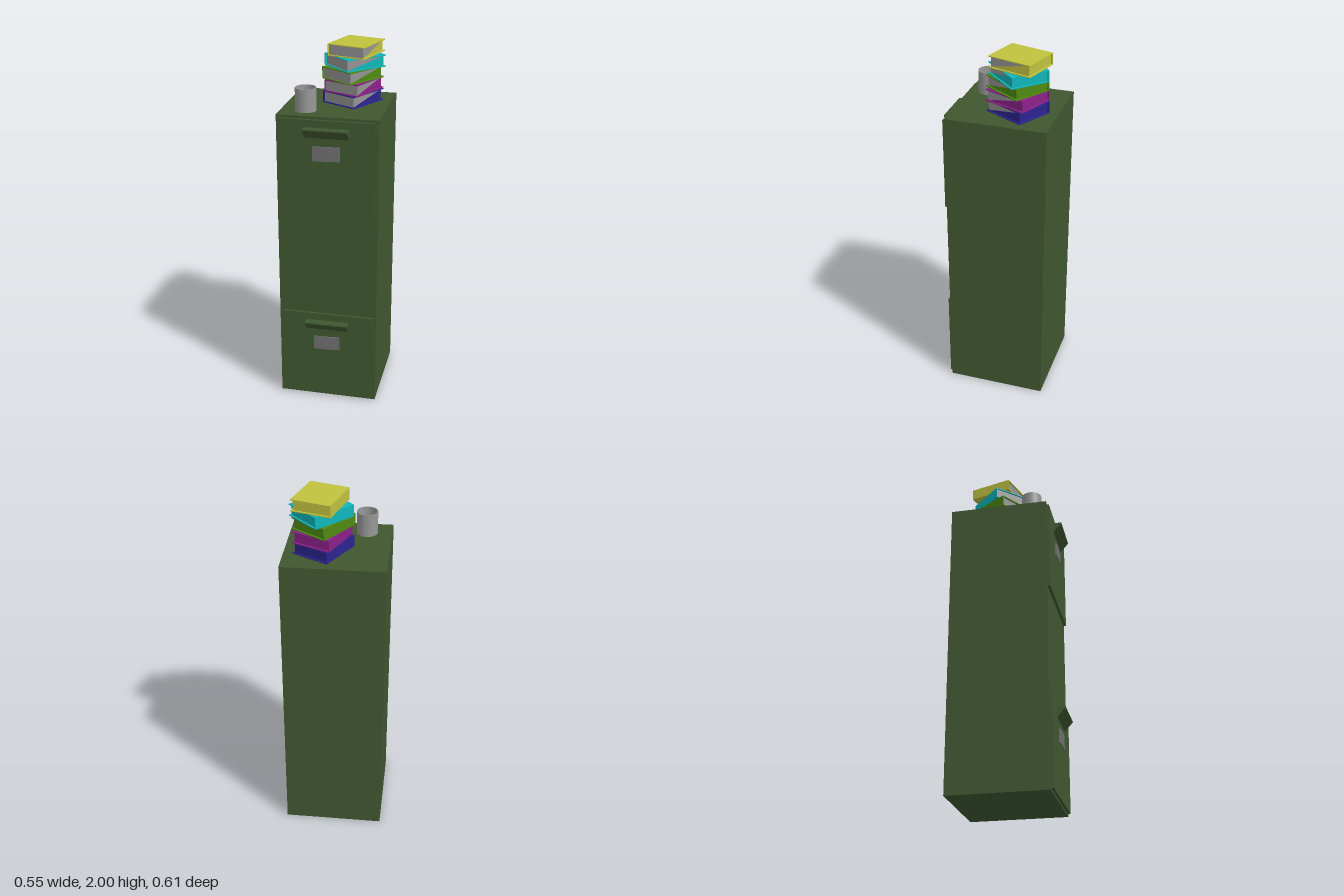
import * as THREE from 'three';

const mat = (name, color, side = THREE.FrontSide) => {
  const m = new THREE.MeshStandardMaterial({ color, side });
  m.name = name;
  return m;
};

export function createModel() {
  const group = new THREE.Group();
  group.name = 'filingCabinet';

  const cabinetGreen = mat('cabinet green', 0x405730);
  const cupGrey = mat('cup grey', 0x989898, THREE.DoubleSide);
  const labelGrey = mat('label grey', 0x707070);
  const pageGrey = mat('page grey', 0x949494);

  const add = (parent, name, geometry, material, x = 0, y = 0, z = 0) => {
    const mesh = new THREE.Mesh(geometry, material);
    mesh.name = name;
    mesh.position.set(x, y, z);
    parent.add(mesh);
    return mesh;
  };

  // Cabinet body
  add(group, 'cabinetBody', new THREE.BoxGeometry(0.55, 1.675, 0.549), cabinetGreen, 0, 0.8375, -0.0325);

  // Wedge-shaped pull, flat on top and sloping back underneath
  const wedge = new THREE.Shape([
    new THREE.Vector2(0, 0), new THREE.Vector2(0.046, 0.051),
    new THREE.Vector2(0.046, 0.057), new THREE.Vector2(0, 0.057),
  ]);
  const handleGeo = new THREE.ExtrudeGeometry(wedge, { depth: 0.24, bevelEnabled: false });
  handleGeo.rotateY(-Math.PI / 2).translate(0.12, 0, 0);

  // Label card, folded slightly forward along its middle
  const labelGeo = new THREE.BoxGeometry(0.148, 0.08, 0.006, 2, 1, 1);
  const lp = labelGeo.attributes.position;
  for (let i = 0; i < lp.count; i++) {
    if (Math.abs(lp.getX(i)) < 0.01) lp.setZ(i, lp.getZ(i) + 0.003);
    else lp.setY(i, lp.getY(i) + lp.getX(i) * 0.03);
  }
  labelGeo.computeVertexNormals();

  // Top and bottom drawers; the middle bay is blank
  for (const [name, y] of [['bottomDrawer', 0.012], ['topDrawer', 1.142]]) {
    const drawer = new THREE.Group();
    drawer.name = name;
    drawer.position.set(0, y, 0.242);
    group.add(drawer);
    add(drawer, 'drawerFront', new THREE.BoxGeometry(0.52, 0.518, 0.015), cabinetGreen, 0, 0.259, 0.0075);
    add(drawer, 'handle', handleGeo, cabinetGreen, 0, 0.421, 0.015);
    add(drawer, 'label', labelGeo, labelGrey, -0.002, 0.338, 0.018);
  }

  // Open cup with a thin wall
  const cupProfile = [
    [0, 0], [0.057, 0], [0.057, 0], [0.057, 0.125], [0.057, 0.125],
    [0.053, 0.125], [0.053, 0.125], [0.053, 0.008], [0.053, 0.008], [0, 0.008],
  ].map(([r, y]) => new THREE.Vector2(r, y));
  const cup = new THREE.Group();
  cup.name = 'cup';
  cup.position.set(-0.139, 1.675, 0.135);
  group.add(cup);
  for (let i = 0; i < cupProfile.length; i += 2) {
    const ends = [cupProfile[i], cupProfile[i + 1]];
    add(cup, 'cupSurface', new THREE.LatheGeometry(ends, 32), cupGrey);
  }

  // Hardback books: two boards, a spine and a recessed page block
  const W = 0.218, H = 0.065, D = 0.25, T = 0.005, INSET = 0.01;
  const boardGeo = new THREE.BoxGeometry(W, T, D);
  const spineGeo = new THREE.BoxGeometry(T, H - 2 * T, D);
  const pagesGeo = new THREE.BoxGeometry(W - T - INSET, H - 2 * T, D - 2 * INSET);
  // Pages show on the front and half of the fore edge; the rest is cover colour
  pagesGeo.clearGroups();
  [[0, 3, 0], [3, 21, 1], [24, 6, 0], [30, 6, 1]].forEach((g) => pagesGeo.addGroup(...g));

  const books = [
    ['blueBook', 0x2c2390, 0.071, -0.094, -28.7],
    ['purpleBook', 0x8c2189, 0.075, -0.093, -23],
    ['greenBook', 0x4f8a12, 0.069, -0.09, -34],
    ['cyanBook', 0x0fb7ba, 0.079, -0.099, -44.6],
    ['yellowBook', 0xc0c23f, 0.083, -0.111, -16.2],
  ];
  books.forEach(([name, color, x, z, angle], i) => {
    const cover = mat(name + ' cover', color);
    const book = new THREE.Group();
    book.name = name;
    book.position.set(x, 1.675 + i * H, z);
    book.rotation.y = THREE.MathUtils.degToRad(angle);
    group.add(book);
    add(book, 'bottomBoard', boardGeo, cover, 0, T / 2, 0);
    add(book, 'topBoard', boardGeo, cover, 0, H - T / 2, 0);
    add(book, 'spine', spineGeo, cover, (T - W) / 2, H / 2, 0);
    add(book, 'pages', pagesGeo, [pageGrey, cover], (T - INSET) / 2, H / 2, 0);
  });

  return group;
}
